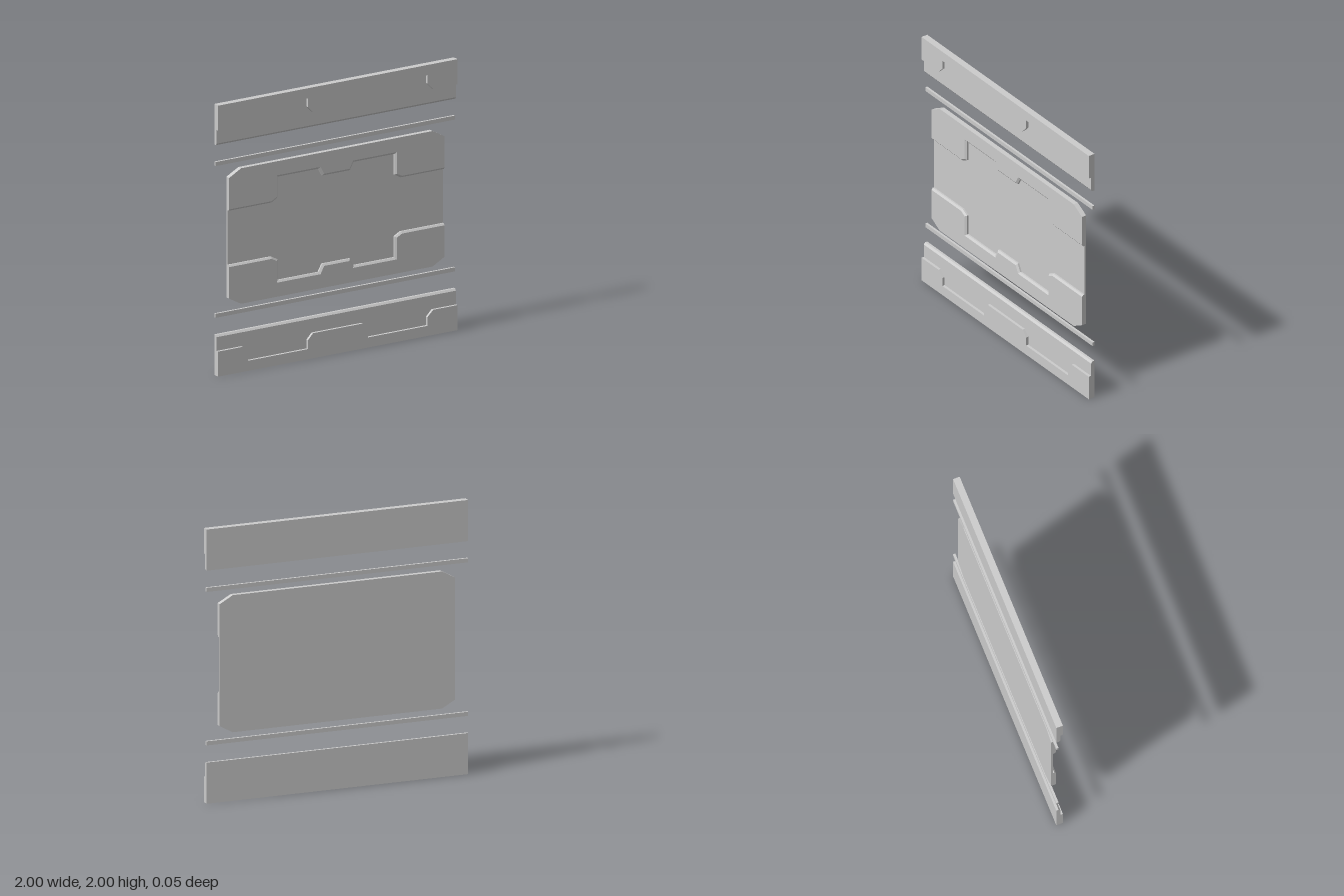
import * as THREE from 'three';

const material = new THREE.MeshStandardMaterial({ color: 0xcccccc, flatShading: true });
const BACK = -0.025;

function part(name, geometry) {
  const mesh = new THREE.Mesh(geometry, material);
  mesh.name = name;
  return mesh;
}

// Complete a left-right symmetric outline from its left half.
const mirrored = (half) => [...half, ...half.map(([x, y]) => [-x, y]).reverse()];
const toPoints = (list) => list.map(([x, y]) => new THREE.Vector2(x, y));

// Straight plate of a front outline between two depths.
function plate(outline, z0, z1) {
  const g = new THREE.ExtrudeGeometry(new THREE.Shape(toPoints(outline)), { depth: z1 - z0, bevelEnabled: false });
  return g.translate(0, 0, z0);
}

// Counter-clockwise outlines joined from back to front, closed by a front cap.
function loft(sections) {
  const n = sections[0].outline.length, pos = [];
  const add = (s, i) => pos.push(...sections[s].outline[i % n], sections[s].z);
  for (let s = 0; s < sections.length - 1; s++) {
    for (let i = 0; i < n; i++) {
      add(s, i); add(s, i + 1); add(s + 1, i + 1);
      add(s, i); add(s + 1, i + 1); add(s + 1, i);
    }
  }
  const last = sections.length - 1;
  for (const tri of THREE.ShapeUtils.triangulateShape(toPoints(sections[last].outline), [])) {
    tri.forEach((i) => add(last, i));
  }
  const g = new THREE.BufferGeometry();
  g.setAttribute('position', new THREE.Float32BufferAttribute(pos, 3));
  g.computeVertexNormals();
  return g;
}

// One half of the set, measured upward from the middle line.
function createHalf(name) {
  const half = new THREE.Group();
  half.name = name;

  // Rail base: profile in (z, y) with a chamfered inner front edge, swept along x
  const profile = new THREE.Shape(toPoints([[BACK, 0.7], [-0.007, 0.7], [0.005, 0.714], [0.005, 1], [BACK, 1]]));
  const base = new THREE.ExtrudeGeometry(profile, { depth: 2, bevelEnabled: false });
  base.rotateY(-Math.PI / 2).scale(1, 1, 1).translate(1, 0, 0);
  // the quarter turn maps profile x to +z and depth to -x
  half.add(part('railBase', base));

  // Raised rail face with two notches
  const face = mirrored([
    [-1, 1], [-1, 0.815], [-0.795, 0.815], [-0.75, 0.86], [-0.75, 0.925],
    [-0.25, 0.925], [-0.25, 0.86], [-0.208, 0.815],
  ]);
  half.add(part('railFace', plate(face, 0.005, 0.025)));

  // Thin separate strip
  const strip = part('strip', new THREE.BoxGeometry(2, 0.03, 0.017));
  strip.position.set(0, 0.56, BACK + 0.0085);
  half.add(strip);

  // Raised panel border: a wall, then a chamfer along the stepped inner edge
  const outer = [[-0.8, 0.5], [-0.9, 0.445]];
  const foot = mirrored([...outer,
    [-0.9, 0.2], [-0.54, 0.2], [-0.488, 0.228], [-0.488, 0.382], [-0.146, 0.382], [-0.116, 0.326]]);
  const crest = mirrored([...outer,
    [-0.9, 0.213], [-0.545, 0.213], [-0.502, 0.236], [-0.502, 0.396], [-0.136, 0.396], [-0.106, 0.34]]);
  half.add(part('panelBorder', loft([
    { outline: foot, z: -0.012 }, { outline: foot, z: 0 }, { outline: crest, z: 0.011 },
  ])));
  return half;
}

export function createModel() {
  const model = new THREE.Group();
  model.name = 'wallPanelSet';

  // Main panel plate with clipped corners
  const panel = mirrored([[-0.8, 0.5], [-0.9, 0.445], [-0.9, -0.445], [-0.8, -0.5]]);
  const core = new THREE.Group();
  core.name = 'panels';
  core.position.y = 1;
  core.add(part('panelPlate', plate(panel, BACK, -0.012)));

  // The lower half is the upper half turned upside down
  const lower = createHalf('lowerHalf');
  lower.rotation.z = Math.PI;
  core.add(createHalf('upperHalf'), lower);

  model.add(core);
  return model;
}
